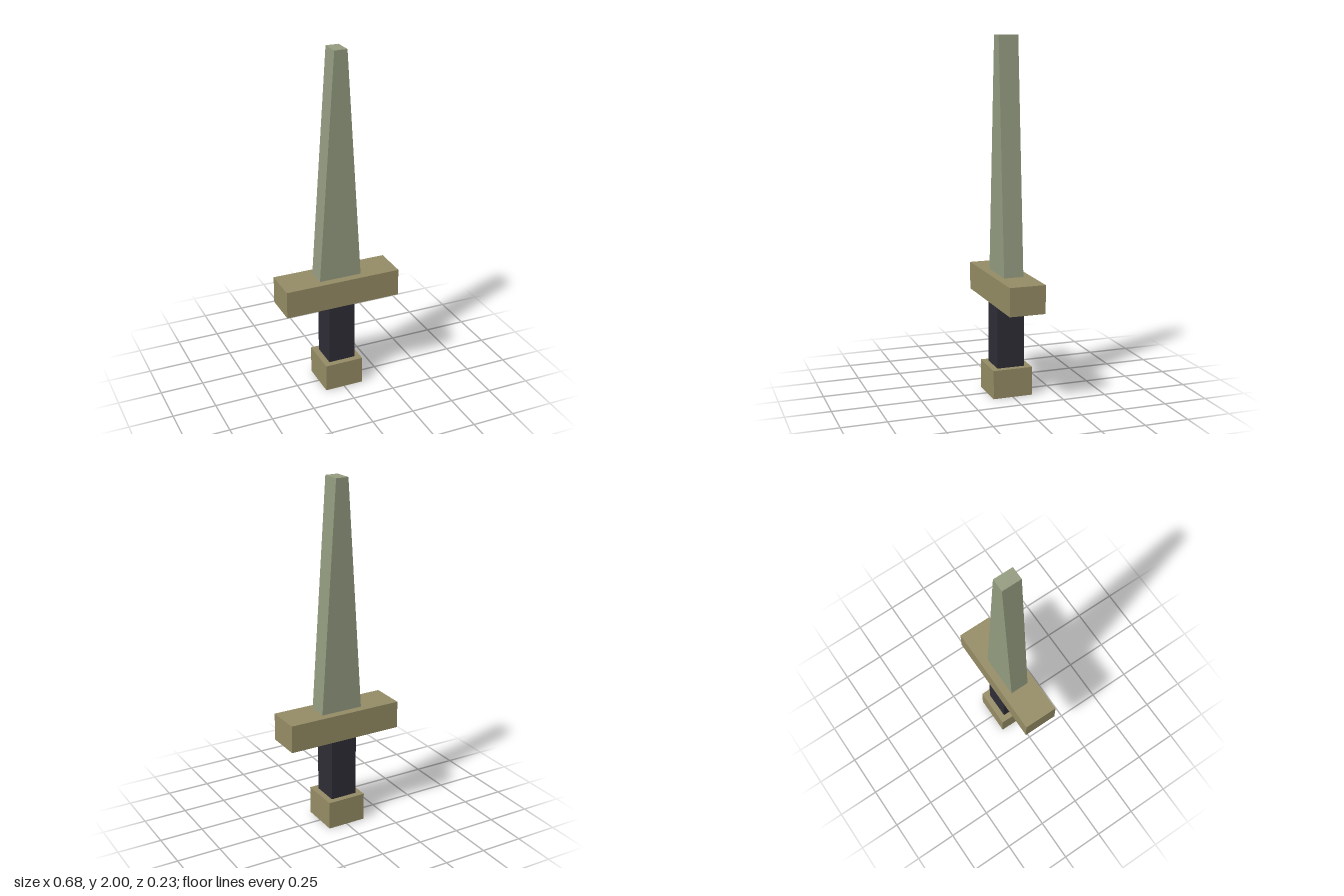
import * as THREE from 'three';

export function createModel() {
  const material = (name, color) => {
    const m = new THREE.MeshStandardMaterial({ color });
    m.name = name;
    return m;
  };
  const brass = material('brass', 0x958c65);
  const steel = material('greenSteel', 0x949c80);
  const leather = material('darkLeather', 0x2e2d36);

  const sword = new THREE.Group();
  sword.name = 'sword';
  const add = (name, geometry, mat, y = 0, z = 0) => {
    const mesh = new THREE.Mesh(geometry, mat);
    mesh.name = name;
    mesh.position.set(0, y, z);
    sword.add(mesh);
  };
  // Upright block spanning two heights
  const block = (name, width, bottom, top, depth, mat) =>
    add(name, new THREE.BoxGeometry(width, top - bottom, depth), mat, (bottom + top) / 2);

  // Hilt
  block('pommel', 0.228, 0, 0.163, 0.228, brass);
  block('grip', 0.158, 0.163, 0.529, 0.158, leather);
  block('crossguard', 0.684, 0.529, 0.688, 0.204, brass);

  // Blade: tapers in width only, with a flat tip
  const bottom = 0.688, top = 2, depth = 0.112;
  const outline = new THREE.Shape([
    new THREE.Vector2(-0.125, bottom),
    new THREE.Vector2(0.125, bottom),
    new THREE.Vector2(0.037, top),
    new THREE.Vector2(-0.037, top),
  ]);
  add('blade', new THREE.ExtrudeGeometry(outline, { depth, bevelEnabled: false }), steel, 0, -depth / 2);

  return sword;
}
